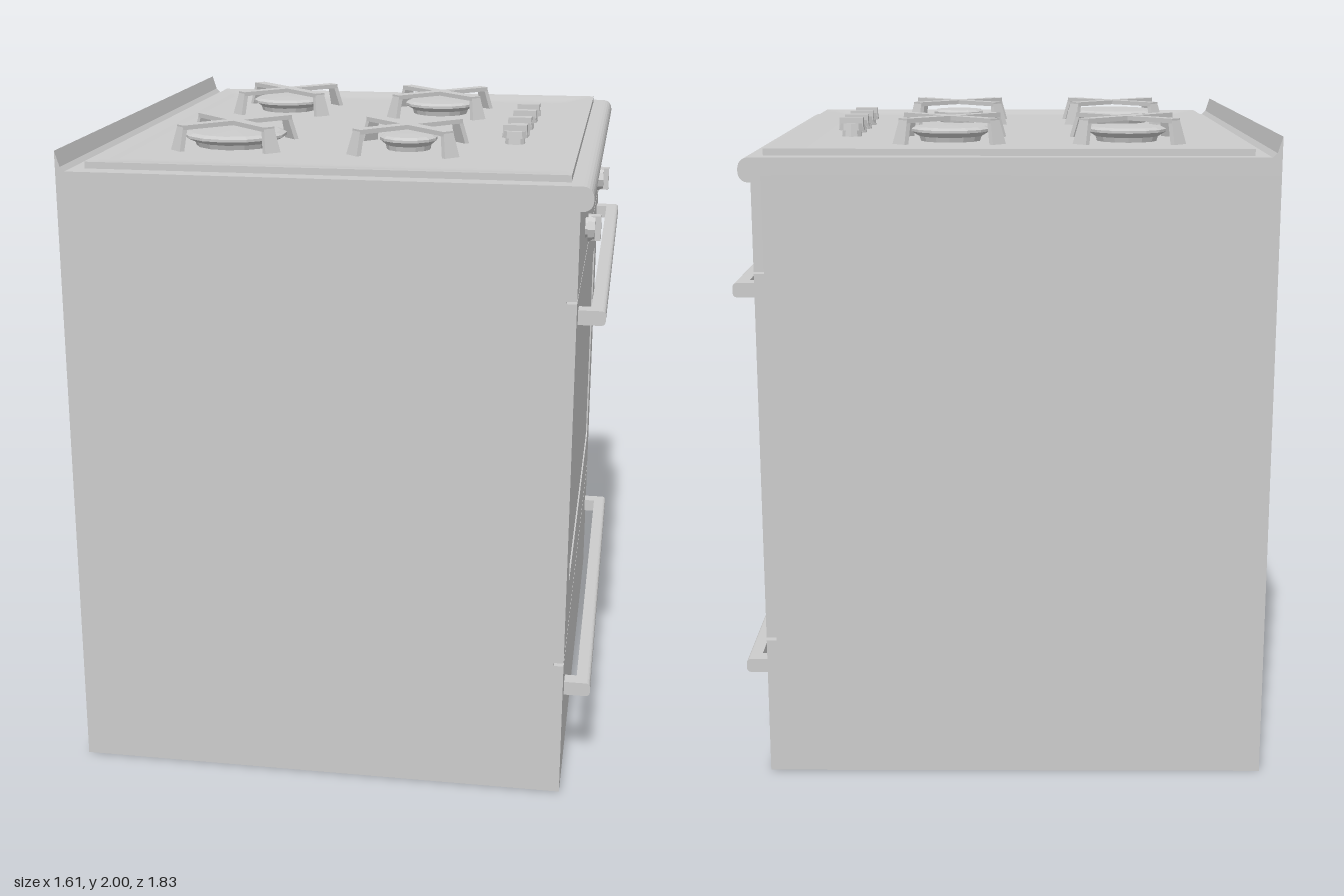
import * as THREE from 'three';

const grey = new THREE.MeshStandardMaterial({ color: 0xcccccc });
const flat = new THREE.MeshStandardMaterial({ color: 0xcccccc, flatShading: true });

function add(parent, name, geometry, x = 0, y = 0, z = 0, material = grey) {
  const mesh = new THREE.Mesh(geometry, material);
  mesh.name = name;
  mesh.position.set(x, y, z);
  parent.add(mesh);
  return mesh;
}

// Box given by its limits on each axis
function block(parent, name, x0, x1, y0, y1, z0, z1) {
  return add(parent, name, new THREE.BoxGeometry(x1 - x0, y1 - y0, z1 - z0),
    (x0 + x1) / 2, (y0 + y1) / 2, (z0 + z1) / 2);
}

// Rounded rectangle traced into a Shape or Path
function roundRect(path, w, y0, y1, r) {
  path.moveTo(-w + r, y0);
  path.lineTo(w - r, y0);
  path.quadraticCurveTo(w, y0, w, y0 + r);
  path.lineTo(w, y1 - r);
  path.quadraticCurveTo(w, y1, w - r, y1);
  path.lineTo(-w + r, y1);
  path.quadraticCurveTo(-w, y1, -w, y1 - r);
  path.lineTo(-w, y0 + r);
  path.quadraticCurveTo(-w, y0, -w + r, y0);
  return path;
}

// Tray with a shallow dished top
function dishedTray(w, h, d, depth) {
  const g = new THREE.BoxGeometry(w, h, d, 48, 1, 56);
  const p = g.attributes.position;
  for (let i = 0; i < p.count; i++) {
    if (p.getY(i) < 0) continue;
    const edge = Math.min(w / 2 - Math.abs(p.getX(i)), d / 2 - Math.abs(p.getZ(i)));
    p.setY(i, h / 2 - depth * THREE.MathUtils.smoothstep(edge, 0, 0.12));
  }
  g.computeVertexNormals();
  return g;
}

// Knob pointing up +y, grip along x
function knob(name) {
  const g = new THREE.Group();
  g.name = name;
  add(g, 'knobStem', new THREE.CylinderGeometry(0.03, 0.034, 0.03, 10), 0, 0.01, 0, flat);
  add(g, 'knobDisc', new THREE.CylinderGeometry(0.04, 0.043, 0.022, 10), 0, 0.031, 0, flat);
  add(g, 'knobGrip', new THREE.BoxGeometry(0.076, 0.03, 0.036), 0, 0.045, 0);
  return g;
}

// Crossed pan support with four splayed legs
function panSupport() {
  const g = new THREE.Group();
  g.name = 'panSupport';
  for (let i = 0; i < 4; i++) {
    const arm = new THREE.Group();
    arm.name = 'supportArm';
    arm.rotation.y = Math.PI / 4 + i * Math.PI / 2;
    add(arm, 'armBar', new THREE.BoxGeometry(0.2, 0.014, 0.04), 0.1, 1.991, 0);
    const leg = new THREE.CylinderGeometry(0.7071, 0.7071, 0.078, 4).toNonIndexed();
    leg.rotateY(Math.PI / 4);
    const p = leg.attributes.position;
    for (let k = 0; k < p.count; k++) {
      const low = p.getY(k) < 0;
      p.setX(k, p.getX(k) * 0.016 + (low ? 0.212 : 0.191));
      p.setZ(k, p.getZ(k) * (low ? 0.056 : 0.036));
    }
    leg.computeVertexNormals();
    add(arm, 'armLeg', leg, 0, 1.957, 0, flat);
    g.add(arm);
  }
  return g;
}

// Door or drawer handle: rounded bar on two end brackets
function handle(name, y) {
  const g = new THREE.Group();
  g.name = name;
  const s = new THREE.Shape();
  s.moveTo(0.757, -0.022);
  s.lineTo(0.785, -0.022);
  s.quadraticCurveTo(0.801, -0.022, 0.801, -0.008);
  s.lineTo(0.801, 0.008);
  s.quadraticCurveTo(0.801, 0.022, 0.785, 0.022);
  s.lineTo(0.757, 0.022);
  add(g, 'handleBar', new THREE.ExtrudeGeometry(s, { depth: 1.63, bevelEnabled: false, curveSegments: 5 }), 0, 0, -0.815);
  for (const side of [-1, 1]) {
    const z = side * 0.79;
    block(g, 'handleBracket', 0.715, 0.76, -0.022, 0.022, z - 0.025, z + 0.025);
  }
  g.position.y = y;
  return g;
}

export function createModel() {
  const model = new THREE.Group();
  model.name = 'stove';
  const W = 0.915;

  // Carcass and front panels
  block(model, 'body', -0.81, 0.69, 0, 1.86, -W, W);
  block(model, 'controlPanel', 0.69, 0.72, 1.58, 1.85, -W, W);
  block(model, 'drawerFront', 0.69, 0.72, 0, 0.433, -W, W);

  // Oven door with a slightly sunk window
  const door = new THREE.Shape();
  door.moveTo(-W, 0.443);
  door.lineTo(W, 0.443);
  door.lineTo(W, 1.573);
  door.lineTo(-W, 1.573);
  door.holes.push(roundRect(new THREE.Path(), 0.72, 0.625, 1.39, 0.015));
  add(model, 'ovenDoor', new THREE.ExtrudeGeometry(door, { depth: 0.03, bevelEnabled: false }), 0.69)
    .rotation.y = Math.PI / 2;
  block(model, 'ovenWindow', 0.69, 0.715, 0.61, 1.4, -0.73, 0.73);
  model.add(handle('doorHandle', 1.508), handle('drawerHandle', 0.308));

  // Top slab: rear upstand and rolled front lip in one profile
  const top = new THREE.Shape();
  top.moveTo(-0.81, 1.86);
  top.lineTo(0.69, 1.86);
  top.lineTo(0.69, 1.84);
  top.lineTo(0.73, 1.84);
  top.quadraticCurveTo(0.757, 1.845, 0.757, 1.875);
  top.quadraticCurveTo(0.757, 1.91, 0.725, 1.912);
  top.lineTo(-0.782, 1.912);
  top.lineTo(-0.795, 1.925);
  top.lineTo(-0.81, 1.972);
  add(model, 'topSlab', new THREE.ExtrudeGeometry(top, { depth: 2 * W, bevelEnabled: false, curveSegments: 6 }), 0, 0, -W);

  // Dished cooktop
  add(model, 'cooktop', dishedTray(1.43, 0.025, 1.715, 0.012), -0.025, 1.9195, -0.002);

  // Burners and pan supports: x, z, radius
  for (const [x, z, r] of [[-0.395, -0.417, 0.125], [0.16, -0.417, 0.125], [-0.395, 0.393, 0.163], [0.16, 0.393, 0.09]]) {
    const burner = new THREE.Group();
    burner.name = 'burner';
    const profile = [[0.75, 1.915], [0.8, 1.935], [1, 1.95], [1, 1.958], [0.88, 1.965], [0, 1.967]]
      .map(([k, y]) => new THREE.Vector2(k * r, y));
    add(burner, 'burnerCap', new THREE.LatheGeometry(profile, 14), 0, 0, 0, flat);
    burner.add(panSupport());
    burner.position.set(x, 0, z);
    model.add(burner);
  }

  // Burner knobs on the cooktop
  for (const [x, z] of [[0.487, -0.257], [0.485, -0.1], [0.482, 0.065], [0.48, 0.235]]) {
    const k = knob('burnerKnob');
    k.position.set(x, 1.92, z);
    model.add(k);
  }

  // Oven knobs on the control panel
  for (const z of [0.447, -0.413]) {
    const k = knob('ovenKnob');
    k.rotation.z = -Math.PI / 2;
    k.position.set(0.708, 1.7, z);
    model.add(k);
  }
  return model;
}
